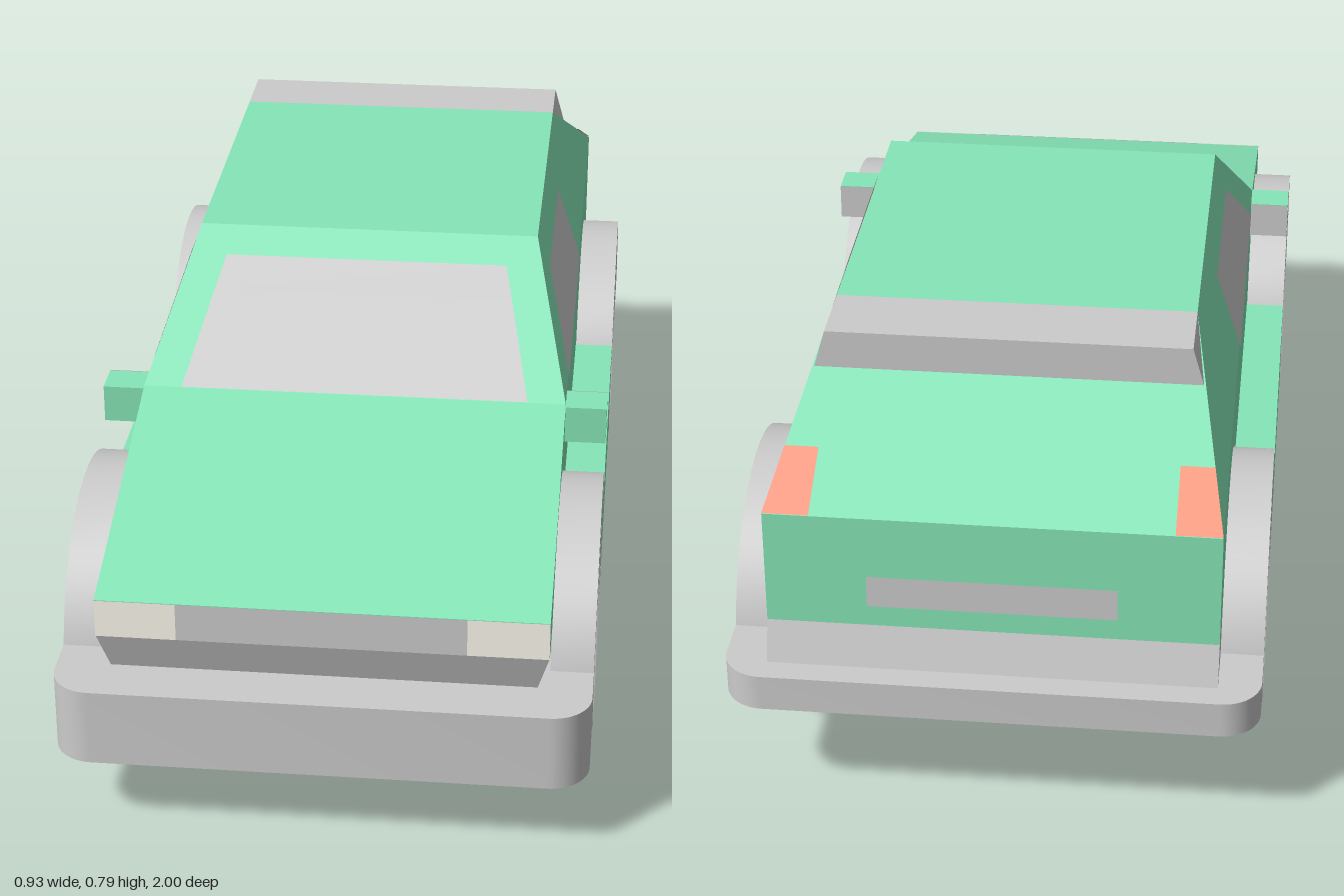
import * as THREE from 'three';
import { ConvexGeometry } from 'three/addons/geometries/ConvexGeometry.js';
import { toCreasedNormals } from 'three/addons/utils/BufferGeometryUtils.js';

const GREY = 0xcccccc, GREEN = 0x86e6b8, RED = 0xff9a80, CREAM = 0xfffaf0;
const materials = {};
function material(color, side = THREE.FrontSide) {
  const key = color + '/' + side;
  return materials[key] ??= new THREE.MeshStandardMaterial({ color, side });
}

export function createModel() {
  const car = new THREE.Group();
  car.name = 'car';

  function add(name, geometry, color, side, parent = car) {
    const mesh = new THREE.Mesh(geometry, material(color, side));
    mesh.name = name;
    parent.add(mesh);
    return mesh;
  }

  // Faceted solid, symmetric in x, from [halfWidth, y, z] corners
  function solid(name, color, corners) {
    const points = corners.flatMap(([x, y, z]) => [
      new THREE.Vector3(x, y, z), new THREE.Vector3(-x, y, z)]);
    return add(name, new ConvexGeometry(points), color);
  }

  function box(name, color, [x0, x1], [y0, y1], [z0, z1]) {
    const geometry = new THREE.BoxGeometry(x1 - x0, y1 - y0, z1 - z0);
    geometry.translate((x0 + x1) / 2, (y0 + y1) / 2, (z0 + z1) / 2);
    return add(name, geometry, color);
  }

  // Thin four-cornered panel lifted slightly off the body along `out`
  function panel(name, color, corners, out) {
    const lift = new THREE.Vector3(...out).normalize().multiplyScalar(0.002);
    const geometry = new THREE.BufferGeometry().setFromPoints(
      corners.map((c) => new THREE.Vector3(...c).add(lift)));
    const a = new THREE.Vector3(...corners[1]).sub(new THREE.Vector3(...corners[0]));
    const b = new THREE.Vector3(...corners[2]).sub(new THREE.Vector3(...corners[0]));
    geometry.setIndex(a.cross(b).dot(lift) > 0 ? [0, 1, 2, 0, 2, 3] : [0, 2, 1, 0, 3, 2]);
    geometry.computeVertexNormals();
    add(name, geometry, color, THREE.DoubleSide);
  }

  // Body shell, cabin and roof spoiler
  solid('lowerBody', GREEN, [
    [0.39, 0.36, 0.93], [0.39, 0.43, 0.93], [0.39, 0.575, 0.4],
    [0.39, 0.575, -0.93], [0.39, 0.36, -0.93]]);
  solid('cabin', GREEN, [
    [0.39, 0.575, 0.4], [0.39, 0.575, -0.93], [0.32, 0.785, 0.12], [0.32, 0.785, -0.53]]);
  solid('spoiler', GREY, [
    [0.32, 0.785, -0.53], [0.32, 0.785, -0.665], [0.34, 0.715, -0.665]]);

  // Underbody and the tapered skirts above the bumpers
  box('underbody', GREY, [-0.39, 0.39], [0.15, 0.36], [-0.79, 0.8]);
  solid('frontSkirt', GREY, [
    [0.39, 0.36, 0.93], [0.39, 0.36, 0.7], [0.37, 0.285, 0.905], [0.37, 0.285, 0.7]]);
  solid('rearSkirt', GREY, [
    [0.39, 0.36, -0.93], [0.39, 0.36, -0.7], [0.39, 0.285, -0.955], [0.39, 0.285, -0.7]]);

  // Bumpers with rounded outer corners
  function bumper(name, dir, y0, y1) {
    const w = 0.465, r = 0.07;
    const shape = new THREE.Shape();
    shape.moveTo(-w, 0.79);
    shape.lineTo(w, 0.79);
    shape.lineTo(w, 1 - r);
    shape.absarc(w - r, 1 - r, r, 0, Math.PI / 2);
    shape.absarc(-w + r, 1 - r, r, Math.PI / 2, Math.PI);
    const geometry = new THREE.ExtrudeGeometry(shape,
      { depth: y1 - y0, bevelEnabled: false, curveSegments: 6 });
    geometry.rotateX(-Math.PI / 2);
    if (dir > 0) geometry.rotateY(Math.PI);
    geometry.translate(0, y0, 0);
    add(name, toCreasedNormals(geometry, 0.6), GREY);
  }
  bumper('frontBumper', 1, 0.145, 0.287);
  bumper('rearBumper', -1, 0.22, 0.287);

  // Windscreen with sun band; zAt follows the screen's slope
  const zAt = (y) => 0.4 - (y - 0.575) * 4 / 3;
  const screenRow = (name, y0, w0, y1, w1) => panel(name, GREY, [
    [-w0, y0, zAt(y0)], [w0, y0, zAt(y0)], [w1, y1, zAt(y1)], [-w1, y1, zAt(y1)]], [0, 4, 3]);
  screenRow('windscreen', 0.575, 0.32, 0.7, 0.28);
  screenRow('sunBand', 0.7, 0.28, 0.745, 0.265);

  // Grille and rear plate
  const upright = (name, color, x0, x1, y0, y1, z) => panel(name, color,
    [[x0, y0, z], [x1, y0, z], [x1, y1, z], [x0, y1, z]], [0, 0, z]);
  upright('grille', GREY, -0.25, 0.25, 0.36, 0.43, 0.93);
  upright('rearPlate', GREY, -0.215, 0.215, 0.4, 0.46, -0.93);

  // Wheel arch outline: half ring with a short leg on the cabin side
  const R = 0.28, r = 0.21;
  const arch = new THREE.Shape();
  arch.moveTo(R, 0);
  arch.absarc(0, 0, R, 0, Math.PI);
  arch.lineTo(-R, -0.07);
  arch.lineTo(-r + 0.015, -0.07);
  arch.lineTo(-r, 0);
  arch.absarc(0, 0, r, Math.PI, 0, true);
  const archGeometry = toCreasedNormals(new THREE.ExtrudeGeometry(arch,
    { depth: 0.075, bevelEnabled: false, curveSegments: 16 }), 0.5);
  archGeometry.translate(0, 0, -0.0375);

  // Wheel profiles as [radius, distance from the car's centre]
  const lathe = (points) => toCreasedNormals(new THREE.LatheGeometry(
    points.map(([x, y]) => new THREE.Vector2(x, y)), 32).rotateZ(-Math.PI / 2), 0.4);
  const tyreGeometry = lathe([[0, 0.25], [0.217, 0.25], [0.217, 0.395],
    [0.183, 0.465], [0.175, 0.455], [0.12, 0.45]]);
  const rimGeometry = lathe([[0.12, 0.45], [0.075, 0.458], [0.07, 0.44], [0.055, 0.425], [0, 0.425]]);

  for (const [side, s] of [['left', 1], ['right', -1]]) {
    const span = (a, b) => (s > 0 ? [a, b] : [-b, -a]);

    panel(side + 'Headlight', CREAM, [[0.25 * s, 0.36, 0.93], [0.39 * s, 0.36, 0.93],
      [0.39 * s, 0.43, 0.93], [0.25 * s, 0.43, 0.93]], [0, 0, 1]);
    panel(side + 'TailLight', RED, [[0.31 * s, 0.575, -0.93], [0.39 * s, 0.575, -0.93],
      [0.369 * s, 0.638, -0.81], [0.31 * s, 0.638, -0.81]], [0, 0.4, -0.21]);
    panel(side + 'Window', GREY, [[0.39 * s, 0.575, 0.285], [0.39 * s, 0.575, -0.27],
      [0.342 * s, 0.72, -0.27], [0.342 * s, 0.72, 0.1]], [3 * s, 1, 0]);

    box(side + 'Sill', GREEN, span(0.385, 0.465), [0.148, 0.36], [-0.3, 0.3]);
    box(side + 'Mirror', GREEN, span(0.385, 0.465), [0.503, 0.573], [0.34, 0.408]);
    panel(side + 'MirrorGlass', GREY, [[0.39 * s, 0.503, 0.34], [0.465 * s, 0.503, 0.34],
      [0.465 * s, 0.573, 0.34], [0.39 * s, 0.573, 0.34]], [0, 0, -1]);

    for (const [end, e] of [['Front', 1], ['Rear', -1]]) {
      const archMesh = add(side + end + 'Arch', archGeometry, GREY);
      archMesh.position.set(0.4275 * s, 0.217, 0.58 * e);
      archMesh.rotation.y = -Math.PI / 2 * e;

      const wheel = new THREE.Group();
      wheel.name = side + end + 'Wheel';
      add('tyre', tyreGeometry, GREY, THREE.FrontSide, wheel);
      add('rim', rimGeometry, GREY, THREE.FrontSide, wheel);
      wheel.position.set(0, 0.217, 0.58 * e);
      wheel.rotation.y = s > 0 ? 0 : Math.PI;
      car.add(wheel);
    }
  }
  return car;
}
